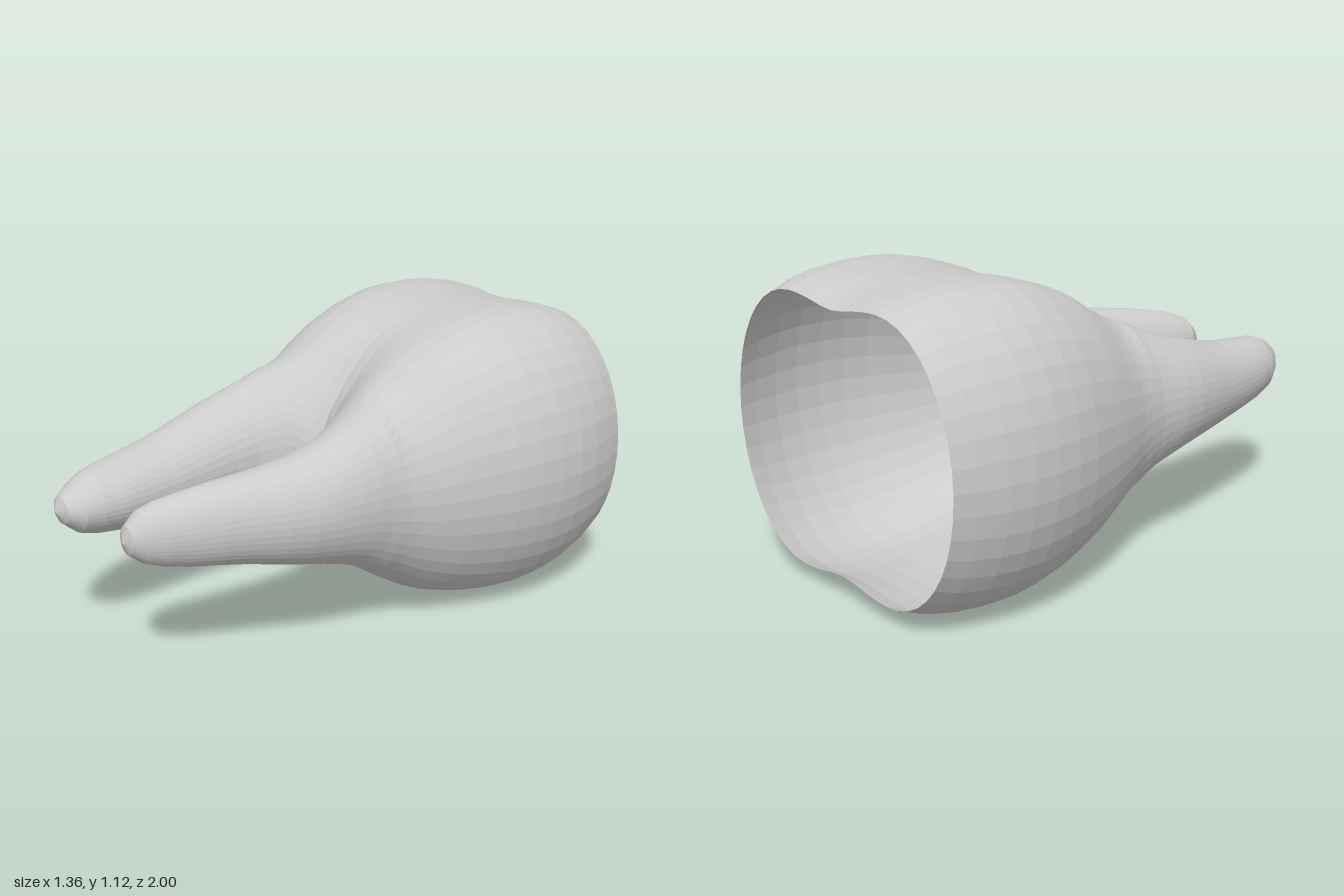
import * as THREE from 'three';

const SEG = 40;    // facets around each half, a multiple of 4
const BLEND = 0.1; // roundness of the valley between the two halves
const material = new THREE.MeshStandardMaterial({ color: 0xcccccc, flatShading: true, side: THREE.DoubleSide });

// Crown cross-sections: [z, outer x, height at the middle plane (0..1), top y, bottom y].
const crownRows = [
  [-1, 0.61, 0.945, 1.06, 0.07],
  [-0.92, 0.637, 0.97, 1.09, 0.037],
  [-0.82, 0.663, 0.985, 1.11, 0.014],
  [-0.72, 0.677, 0.99, 1.12, 0.003],
  [-0.62, 0.678, 0.99, 1.12, 0],
  [-0.52, 0.668, 0.985, 1.112, 0.008],
  [-0.42, 0.648, 0.975, 1.09, 0.025],
  [-0.32, 0.617, 0.955, 1.057, 0.05],
  [-0.25, 0.594, 0.925, 1.03, 0.072],
  [-0.18, 0.568, 0.865, 0.99, 0.105],
  [-0.12, 0.545, 0.775, 0.95, 0.14],
  [-0.06, 0.523, 0.62, 0.916, 0.18],
  [-0.02, 0.512, 0.42, 0.897, 0.207],
  [0.02, 0.505, 0, 0.88, 0.235],
];
// Root cross-sections: [z, outer x, inner x, top y, bottom y].
const leftRows = [
  [0.02, 0.505, 0, 0.88, 0.235],
  [0.06, 0.5, 0.065, 0.865, 0.262],
  [0.11, 0.498, 0.1, 0.845, 0.295],
  [0.18, 0.492, 0.128, 0.82, 0.325],
  [0.27, 0.48, 0.138, 0.79, 0.352],
  [0.36, 0.462, 0.14, 0.768, 0.373],
  [0.46, 0.43, 0.138, 0.752, 0.395],
  [0.56, 0.388, 0.13, 0.738, 0.415],
  [0.66, 0.35, 0.117, 0.725, 0.43],
  [0.75, 0.31, 0.103, 0.708, 0.44],
  [0.83, 0.275, 0.09, 0.69, 0.455],
  [0.89, 0.24, 0.09, 0.665, 0.475],
  [0.94, 0.205, 0.12, 0.62, 0.515],
  [0.96, 0.165, 0.165, 0.565, 0.565],
];
const rightRows = [
  [0.02, 0.505, 0, 0.88, 0.235],
  [0.06, 0.5, 0.065, 0.862, 0.262],
  [0.11, 0.502, 0.105, 0.84, 0.295],
  [0.18, 0.508, 0.135, 0.81, 0.325],
  [0.27, 0.505, 0.147, 0.782, 0.35],
  [0.36, 0.49, 0.15, 0.755, 0.365],
  [0.46, 0.468, 0.148, 0.728, 0.377],
  [0.56, 0.447, 0.143, 0.705, 0.39],
  [0.66, 0.425, 0.135, 0.69, 0.402],
  [0.76, 0.402, 0.125, 0.678, 0.415],
  [0.85, 0.37, 0.125, 0.665, 0.432],
  [0.92, 0.325, 0.135, 0.64, 0.458],
  [0.975, 0.28, 0.172, 0.605, 0.505],
  [1, 0.23, 0.23, 0.555, 0.555],
];

// Squashing x near the middle plane makes both halves meet in a smooth saddle.
const squash = (x) => Math.sqrt(x * x + BLEND * BLEND) - BLEND;
const unsquash = (x) => Math.sqrt(Math.max(0, x * x + 2 * BLEND * x));
const { lerp, clamp } = THREE.MathUtils;

// One half-section: an oval with a fuller inner side, cut off at the middle plane in the crown.
function sectionPoints([z, outer, third, top, bottom], side, isCrown) {
  const fullness = lerp(0.75, 1, clamp(z / 0.35, 0, 1));
  const xo = squash(outer);
  const xi = isCrown ? 0 : squash(third);
  const cx = isCrown ? xo * lerp(0.5, 0.3, third) : (xo + xi) / 2;
  const limit = isCrown ? Math.PI - Math.asin(third ** (1 / fullness)) : Math.PI;
  const reach = (xi - cx) / Math.cos(limit);
  const points = [];
  for (let j = 0; j <= SEG; j++) {
    // The outer half keeps fixed angles; only the inner quarters adapt to the cut.
    const u = 2 * j / SEG - 1, v = Math.abs(u);
    const angle = v < 0.5 ? v * Math.PI : lerp(Math.PI / 2, limit, 2 * v - 1);
    const c = Math.cos(angle), s = Math.max(0, Math.sin(angle));
    const x = cx + c * (v < 0.5 ? xo - cx : reach);
    const y = Math.sign(u) * (v < 0.5 ? s : s ** fullness);
    points.push(side * unsquash(v === 1 ? xi : x), (top + bottom) / 2 + y * (top - bottom) / 2, z);
  }
  return points;
}

// Skins the rows for each requested side (+1 left, -1 right).
function skin(name, rows, sides, isCrown) {
  const positions = [], index = [];
  for (const side of sides) {
    const base = positions.length / 3;
    rows.forEach((row) => positions.push(...sectionPoints(row, side, isCrown)));
    for (let i = 0; i < rows.length - 1; i++) {
      for (let j = 0; j < SEG; j++) {
        const a = base + i * (SEG + 1) + j, b = a + 1, d = a + SEG + 1, c = d + 1;
        // Diagonals mirror between the upper and lower halves.
        const tris = j < SEG / 2 ? [a, b, c, a, c, d] : [a, b, d, b, c, d];
        index.push(...(side > 0 ? tris : tris.reverse()));
      }
    }
  }
  const geometry = new THREE.BufferGeometry();
  geometry.setAttribute('position', new THREE.Float32BufferAttribute(positions, 3));
  geometry.setIndex(index);
  geometry.computeVertexNormals();
  const mesh = new THREE.Mesh(geometry, material);
  mesh.name = name;
  return mesh;
}

export function createModel() {
  const tooth = new THREE.Group();
  tooth.name = 'tooth';
  tooth.add(
    skin('crown', crownRows, [1, -1], true), // hollow shell, open at the back
    skin('leftRoot', leftRows, [1], false),
    skin('rightRoot', rightRows, [-1], false),
  );
  return tooth;
}
